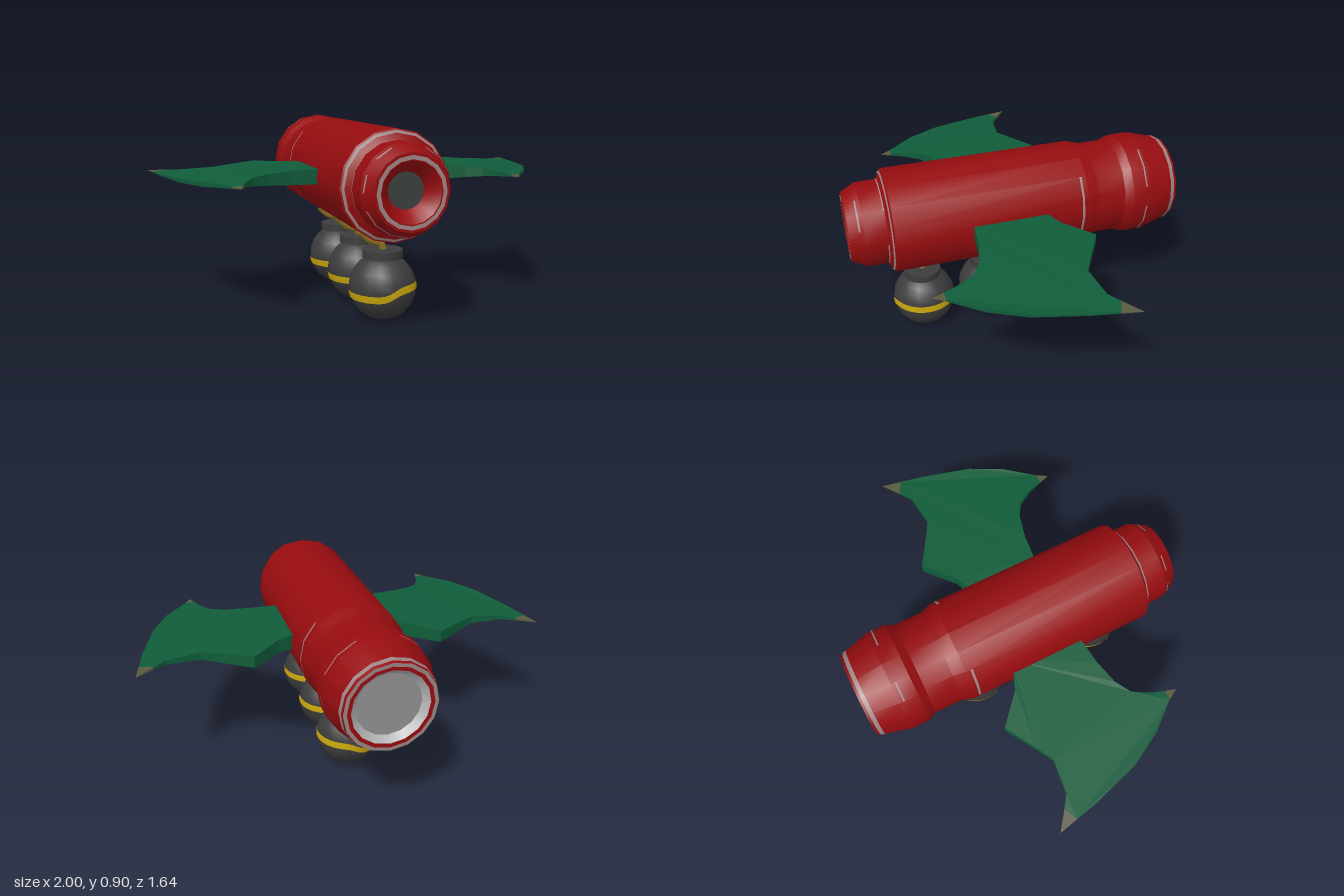
import * as THREE from 'three';
import { toCreasedNormals, mergeGeometries } from 'three/addons/utils/BufferGeometryUtils.js';

const AXIS_Y = 0.645, SIDES = 16, STEP = Math.PI * 2 / SIDES;

function material(name, color) {
  const m = new THREE.MeshStandardMaterial({ color });
  m.name = name;
  return m;
}

function add(parent, name, geometry, mat) {
  const mesh = new THREE.Mesh(geometry, mat);
  mesh.name = name;
  parent.add(mesh);
  return mesh;
}

// Revolve [radius, z] pairs, listed rear to front, about the hull axis
function revolve(profile, first = 0, count = SIDES) {
  const g = new THREE.LatheGeometry(
    profile.map(([r, z]) => new THREE.Vector2(r, z)), count, first * STEP, count * STEP);
  return g.rotateX(Math.PI / 2).translate(0, AXIS_Y, 0);
}

// Wing plate from an [x, z] outline, thick at the root and thin at the points
function wingPlate(outline, side) {
  const shape = new THREE.Shape(outline.map(([x, z]) => new THREE.Vector2(side * x, -z)));
  const g = new THREE.ExtrudeGeometry(shape, { depth: 1, bevelEnabled: false });
  g.rotateX(-Math.PI / 2);
  const p = g.attributes.position;
  for (let i = 0; i < p.count; i++) {
    const t = THREE.MathUtils.clamp((Math.abs(p.getX(i)) - 0.2) / 0.8, 0, 1);
    const front = THREE.MathUtils.clamp((0.55 - p.getZ(i)) / 0.28, 0, 1);
    const half = 0.001 + 0.036 * (1 - Math.pow(t, 1.5)) * front;
    p.setY(i, 0.652 + (p.getY(i) > 0.5 ? half : -half));
  }
  g.computeVertexNormals();
  return g;
}

// Painted stripe hugging a ball, sitting lower on its right side
function stripeGeometry(radius) {
  const rows = [-0.017, 0, 0.017];
  const g = new THREE.LatheGeometry(rows.map(y => new THREE.Vector2(radius, y)), 48);
  const p = g.attributes.position;
  for (let i = 0; i < p.count; i++) {
    const x = p.getX(i) / radius, z = p.getZ(i) / radius;
    const y = p.getY(i) - 0.008 + 0.022 * Math.tanh(4 * x);
    const r = Math.sqrt(radius * radius - y * y);
    p.setXYZ(i, x * r, y, z * r);
  }
  g.computeVertexNormals();
  return g;
}

export function createModel() {
  const model = new THREE.Group();
  model.name = 'wingedRocket';
  const red = material('hullRed', 0x960c0f);
  const green = material('wingGreen', 0x0f5c3a);
  const tipGrey = material('wornTip', 0x585a40);
  const dark = material('ballGrey', 0x3c3c3c);
  const yellow = material('stripeYellow', 0xc9a60c);
  const brass = material('brass', 0x8f7526);
  const worn = material('wornEdge', 0x9c8585);
  const plate = material('rearPlate', 0x909090);
  const rim = material('rearRim', 0xb4b4b4);
  const core = material('noseCore', 0x3a3f3e);

  // Hull with collars, waist and hollow nose
  const hull = new THREE.Group();
  hull.name = 'hull';
  model.add(hull);
  const body = [
    [0.178, -0.82], [0.212, -0.82], [0.255, -0.66], [0.255, -0.57], [0.235, -0.53],
    [0.235, -0.39], [0.255, -0.33], [0.255, 0.62], [0.207, 0.645], [0.207, 0.75],
    [0.17, 0.82], [0.135, 0.82], [0.105, 0.79], [0.082, 0.75]];
  add(hull, 'hullShell', toCreasedNormals(revolve(body), 0.45), red);
  add(hull, 'noseCore', revolve([[0.082, 0.75], [0, 0.75]]), core);
  add(hull, 'rearRim', revolve([[0.15, -0.79], [0.178, -0.82]]), rim);
  add(hull, 'rearPlate', revolve([[0, -0.79], [0.15, -0.79]]), plate);

  // Worn paint: full rings on the end rims, broken ones on the other edges
  const fullRings = [
    [[0.217, -0.807], [0.222, -0.787]],
    [[0.196, -0.822], [0.213, -0.822]],
    [[0.158, 0.822], [0.14, 0.822]],
    [[0.248, 0.627], [0.236, 0.633]]];
  const brokenRings = [
    [[0.257, -0.642], [0.257, -0.634]],
    [[0.245, -0.555], [0.241, -0.544]],
    [[0.257, -0.308], [0.257, -0.296]],
    [[0.209, 0.645], [0.209, 0.651]],
    [[0.2, 0.766], [0.196, 0.774]]];
  let seed = 7;
  const random = () => (seed = (seed * 16807) % 2147483647) / 2147483647;
  const wear = fullRings.map(ring => revolve(ring));
  for (const ring of brokenRings) {
    for (let i = 0; i < SIDES; i++) if (random() < 0.55) wear.push(revolve(ring, i, 1));
  }
  add(hull, 'wornEdges', mergeGeometries(wear), worn);

  // Bat-like wings with worn points
  const frontTip = [[0.643, 0.49], [0.66, 0.545], [0.69, 0.49]];
  const rearTip = [[0.98, -0.17], [1, -0.265], [0.915, -0.2]];
  const wing = [
    [0.18, 0.25], [0.25, 0.25], [0.38, 0.265], [0.5, 0.295], [0.575, 0.34], [0.62, 0.42],
    frontTip[0], frontTip[2],
    [0.8, 0.35], [0.885, 0.19], [0.955, -0.05],
    rearTip[0], rearTip[2],
    [0.86, -0.16], [0.695, -0.14], [0.615, -0.185], [0.465, -0.275], [0.325, -0.15],
    [0.25, -0.12], [0.18, -0.1]];
  for (const side of [1, -1]) {
    const group = new THREE.Group();
    group.name = side > 0 ? 'leftWing' : 'rightWing';
    model.add(group);
    add(group, 'wingPanel', wingPlate(wing, side), green);
    add(group, 'frontTip', wingPlate(frontTip, side), tipGrey);
    add(group, 'rearTip', wingPlate(rearTip, side), tipGrey);
  }

  // Three balls hanging on bent hooks
  const hookPath = new THREE.CatmullRomCurve3([
    new THREE.Vector3(-0.11, 0.425, 0), new THREE.Vector3(-0.06, 0.378, 0),
    new THREE.Vector3(-0.01, 0.36, 0), new THREE.Vector3(0.005, 0.32, 0)]);
  for (const z of [0.47, 0.12, -0.23]) {
    const bomb = new THREE.Group();
    bomb.name = 'hangingBall';
    bomb.position.z = z;
    model.add(bomb);
    add(bomb, 'ball', new THREE.SphereGeometry(0.158, 16, 12), dark).position.y = 0.158;
    add(bomb, 'stripe', stripeGeometry(0.1595), yellow).position.y = 0.158;
    const cap = toCreasedNormals(new THREE.CylinderGeometry(0.094, 0.094, 0.038, 16), 0.5);
    add(bomb, 'cap', cap, dark).position.y = 0.314;
    add(bomb, 'hook', new THREE.TubeGeometry(hookPath, 10, 0.018, 8), brass);
  }
  return model;
}
